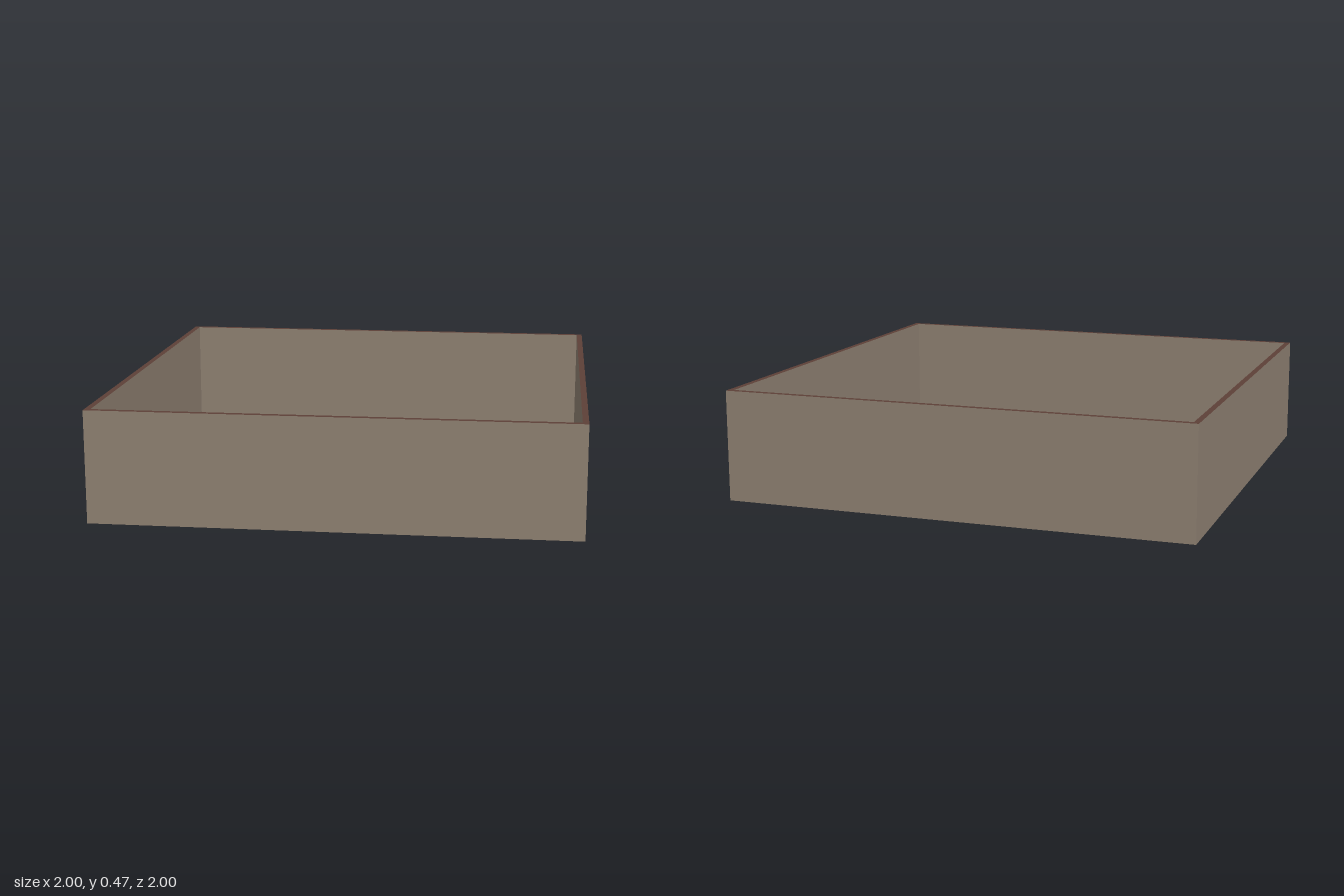
import * as THREE from 'three';

const HEIGHT = 0.47;
const THICKNESS = 0.025;

// Square path of the given half width
function square(path, h) {
  path.moveTo(-h, -h);
  path.lineTo(h, -h);
  path.lineTo(h, h);
  path.lineTo(-h, h);
  path.closePath();
  return path;
}

export function createModel() {
  const wall = new THREE.MeshStandardMaterial({ color: 0x8f8172 });
  wall.name = 'taupe wall';
  const rim = new THREE.MeshStandardMaterial({ color: 0x5d4037 });
  rim.name = 'dark brown rim';

  // Hollow square frame, open at the top and bottom
  const outline = square(new THREE.Shape(), 1);
  outline.holes.push(square(new THREE.Path(), 1 - THICKNESS));
  const geometry = new THREE.ExtrudeGeometry(outline, { depth: HEIGHT, bevelEnabled: false });
  geometry.rotateX(-Math.PI / 2);

  // The caps come bottom first, then top: only the top one is the dark rim
  const [caps, sides] = geometry.groups.map((g) => ({ ...g }));
  const half = caps.count / 2;
  geometry.clearGroups();
  geometry.addGroup(caps.start, half, 0);
  geometry.addGroup(caps.start + half, half, 1);
  geometry.addGroup(sides.start, sides.count, 0);

  const frame = new THREE.Mesh(geometry, [wall, rim]);
  frame.name = 'squareFrame';

  const model = new THREE.Group();
  model.name = 'openFrame';
  model.add(frame);
  return model;
}
